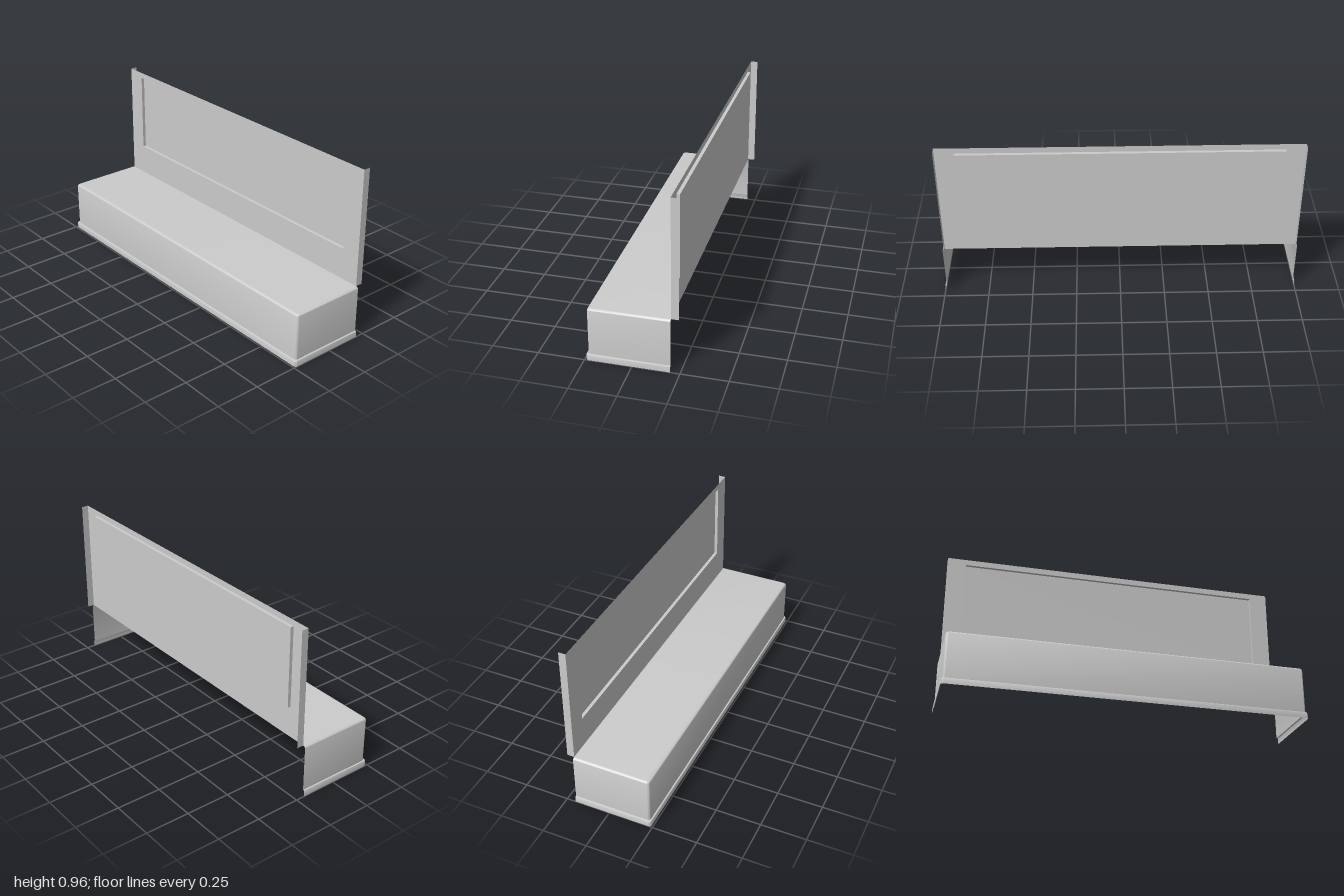
import * as THREE from 'three';
import { toCreasedNormals } from 'three/addons/utils/BufferGeometryUtils.js';

const material = new THREE.MeshStandardMaterial({ color: 0xcccccc, side: THREE.DoubleSide });

const BACK = 0.2;                       // x of the wall sheet and of the open rear of the bench
const FRONT = -0.242, HALF = 1, TOP = 0.3;
const WALL = { half: 0.977, bottom: 0.3, top: 0.963, depth: 0.04 };
const PANEL = { half: 0.872, bottom: 0.476, top: 0.93, depth: 0.018 };

function add(parent, name, geometry) {
  const mesh = new THREE.Mesh(geometry, material);
  mesh.name = name;
  parent.add(mesh);
  return mesh;
}

// U-shaped plan outline, open at the rear, with rounded front corners
function outline(inset, radius) {
  const f = FRONT + inset, h = HALF - inset, pts = [[BACK, h]];
  for (const side of [1, -1]) {
    for (let i = 0; i <= 6; i++) {
      const t = (side > 0 ? i : 6 - i) / 6 * Math.PI / 2;
      pts.push([f + radius * (1 - Math.sin(t)), side * (h - radius * (1 - Math.cos(t)))]);
    }
  }
  pts.push([BACK, -h]);
  return pts;
}

// Skin through a list of equally long rows of [x, y, z]
function loft(rows) {
  const n = rows[0].length, index = [];
  for (let r = 0; r < rows.length - 1; r++) {
    for (let i = 0; i < n - 1; i++) {
      const a = r * n + i, b = a + n;
      index.push(a, b, a + 1, a + 1, b, b + 1);
    }
  }
  const geometry = new THREE.BufferGeometry();
  geometry.setAttribute('position', new THREE.Float32BufferAttribute(rows.flat(2), 3));
  geometry.setIndex(index);
  return toCreasedNormals(geometry, 0.6);
}

const ring = (inset, y, radius = 0.015) => outline(inset, radius).map(([x, z]) => [x, y, z]);

// Flat rectangle in the z-y plane
function rect(Type, { half, bottom, top }) {
  return new Type([[-half, bottom], [half, bottom], [half, top], [-half, top]]
    .map(([u, v]) => new THREE.Vector2(u, v)));
}

// Sheet spanning the depth of a rectangle's side edge
function sideSheet(parent, name, { half, bottom, top, depth }, side) {
  const mesh = add(parent, name, new THREE.PlaneGeometry(depth, top - bottom));
  mesh.position.set(BACK + depth / 2, (top + bottom) / 2, side * half);
  if (side < 0) mesh.rotation.y = Math.PI;
}

export function createModel() {
  const model = new THREE.Group();
  model.name = 'benchWithBackWall';

  // Bench shell: open at the rear and underneath
  const bench = new THREE.Group();
  bench.name = 'bench';
  model.add(bench);

  // Plinth band with a small eased edge
  add(bench, 'plinth', loft([
    ring(0, 0), ring(0, 0.03), ring(0.002, 0.034), ring(0.009, 0.035),
  ]));

  // Body with a rounded top edge, closed along its middle line
  const body = [ring(0.009, 0.035)], r = 0.014;
  for (let i = 0; i <= 6; i++) {
    const t = i / 6 * Math.PI / 2;
    body.push(ring(0.009 + r * (1 - Math.cos(t)), TOP - r + r * Math.sin(t)));
  }
  body.push(body[body.length - 1].map(([x, y]) => [x, y, 0]));
  add(bench, 'seatBody', loft(body));

  // Back wall sheet with an opening for the pressed panel
  const wall = new THREE.Group();
  wall.name = 'backWall';
  model.add(wall);
  const sheet = rect(THREE.Shape, WALL);
  sheet.holes.push(rect(THREE.Path, PANEL));
  add(wall, 'wallSheet', new THREE.ShapeGeometry(sheet).rotateY(Math.PI / 2).translate(BACK, 0, 0));

  // Panel pushed out to the rear
  add(wall, 'panel', new THREE.ShapeGeometry(rect(THREE.Shape, PANEL))
    .rotateY(Math.PI / 2).translate(BACK + PANEL.depth, 0, 0));

  // Step around the panel
  for (const [name, y, turn] of [['panelTopStep', PANEL.top, -1], ['panelBottomStep', PANEL.bottom, 1]]) {
    const step = add(wall, name, new THREE.PlaneGeometry(PANEL.depth, PANEL.half * 2));
    step.rotation.x = turn * Math.PI / 2;
    step.position.set(BACK + PANEL.depth / 2, y, 0);
  }

  // Panel ends and the wall's folded side flanges
  for (const side of [1, -1]) {
    const label = side > 0 ? 'Front' : 'Rear';
    sideSheet(wall, `panel${label}Step`, PANEL, side);
    sideSheet(wall, `wall${label}Flange`, WALL, side);
  }
  return model;
}
